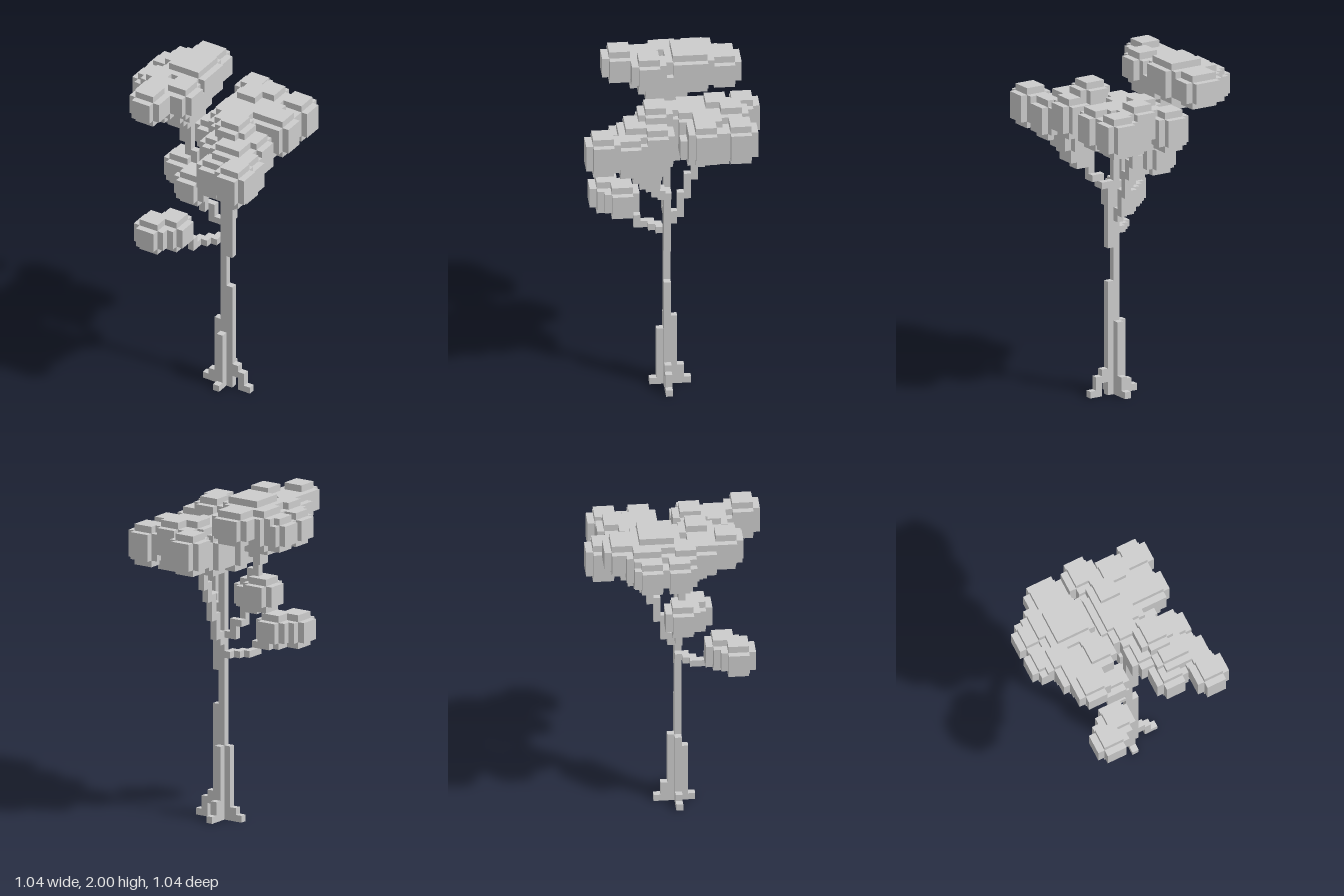
import * as THREE from 'three';

const U = 0.04; // one voxel
const key = (x, y, z) => `${x},${y},${z}`;

// The six faces of a voxel: normal, plus two edge directions with u x v = n
const FACES = [
  [[1, 0, 0], [0, 1, 0], [0, 0, 1]], [[-1, 0, 0], [0, 0, 1], [0, 1, 0]],
  [[0, 1, 0], [0, 0, 1], [1, 0, 0]], [[0, -1, 0], [1, 0, 0], [0, 0, 1]],
  [[0, 0, 1], [1, 0, 0], [0, 1, 0]], [[0, 0, -1], [0, 1, 0], [1, 0, 0]],
];

// Solid block given by its lowest corner and its size
function block(cells, x, y, z, w = 1, h = 1, d = 1) {
  for (let i = 0; i < w; i++)
    for (let j = 0; j < h; j++)
      for (let k = 0; k < d; k++) cells.set(key(x + i, y + j, z + k), [x + i, y + j, z + k]);
}

// Leaf clump: a block whose edges and corners are cut away
function clump(cells, x, y, z, w = 5, h = 6, d = 5) {
  const rim = (i, n) => (i === 0 || i === n - 1 ? 1 : 0);
  for (let i = 0; i < w; i++)
    for (let j = 0; j < h; j++)
      for (let k = 0; k < d; k++)
        if (rim(i, w) + rim(j, h) + rim(k, d) < 2) block(cells, x + i, y + j, z + k);
}

// Stepped limb: walks from point to point one axis at a time, so voxels share faces
function limb(cells, points) {
  const p = [...points[0]];
  block(cells, ...p);
  for (const q of points)
    for (const axis of [0, 2, 1])
      while (p[axis] !== q[axis]) {
        p[axis] += Math.sign(q[axis] - p[axis]);
        block(cells, ...p);
      }
}

// Mesh made of the exposed voxel faces only
function voxelMesh(name, cells, material) {
  const pos = [], nor = [];
  for (const [x, y, z] of cells.values()) {
    for (const [n, u, v] of FACES) {
      if (cells.has(key(x + n[0], y + n[1], z + n[2]))) continue;
      const c = [x + 0.5, y + 0.5, z + 0.5];
      for (const [s, t] of [[-1, -1], [1, -1], [1, 1], [-1, -1], [1, 1], [-1, 1]]) {
        for (let i = 0; i < 3; i++) pos.push((c[i] + (n[i] + s * u[i] + t * v[i]) / 2) * U);
        nor.push(...n);
      }
    }
  }
  const g = new THREE.BufferGeometry();
  g.setAttribute('position', new THREE.Float32BufferAttribute(pos, 3));
  g.setAttribute('normal', new THREE.Float32BufferAttribute(nor, 3));
  const mesh = new THREE.Mesh(g, material);
  mesh.name = name;
  return mesh;
}

export function createModel() {
  const group = new THREE.Group();
  group.name = 'tree';
  const material = new THREE.MeshStandardMaterial({ color: 0xcccccc, flatShading: true });
  const add = (name, fill) => {
    const cells = new Map();
    fill(cells);
    group.add(voxelMesh(name, cells, material));
  };

  // Trunk with buttress columns and stepped roots
  add('trunk', (c) => {
    block(c, 2, 0, 0, 1, 37, 1);
    block(c, 3, 0, 0, 1, 17, 1);
    block(c, 3, 22, 0, 1, 9, 1);
    block(c, 1, 0, 0, 1, 11, 1);
    block(c, 2, 0, -1, 1, 11, 1);
    block(c, 2, 0, 1, 1, 9, 1);
    block(c, 0, 0, 0, 1, 2, 1);
    block(c, -1, 0, 0);
    block(c, 4, 2, 0, 1, 2, 1);
    block(c, 5, 0, 0, 1, 3, 1);
    block(c, 6, 0, 0);
    block(c, 2, 0, 2);
    block(c, 2, 0, -2, 1, 3, 1);
    block(c, 2, 0, -3);
  });

  // Branches reaching to each crown
  add('branches', (c) => {
    limb(c, [[2, 24, 0], [1, 24, 1], [0, 24, 2], [-1, 24, 3], [-1, 25, 4], [-3, 25, 6]]);
    limb(c, [[2, 27, 0], [0, 27, 0], [0, 29, 0], [-1, 31, 1], [-2, 34, 1], [-3, 37, 0], [-4, 39, 0], [-5, 43, -1]]);
    limb(c, [[3, 29, 0], [3, 31, 0], [4, 32, 1], [5, 34, 2], [6, 35, 2], [7, 37, 3]]);
    limb(c, [[2, 26, 0], [2, 27, -1], [2, 30, -2], [2, 33, -3], [2, 35, -4], [2, 39, -5]]);
  });

  // Lowest small crown
  add('lowerFoliage', (c) => {
    clump(c, -7, 25, 6, 5, 5, 5);
    clump(c, -5, 25, 4, 5, 5, 5);
  });

  // Middle crown
  add('middleFoliage', (c) => {
    clump(c, -7, 32, -2, 5, 5, 5);
    clump(c, -4, 31, 0, 5, 5, 5);
  });

  // High crown on the right-hand side
  add('upperFoliage', (c) => {
    const clumps = [
      [-13, 43, -7, 5, 5, 5], [-13, 43, -3, 5, 5, 5], [-9, 44, -11, 6, 5, 5], [-9, 44, -7, 7, 6, 7],
      [-9, 45, 4, 5, 5, 5], [-6, 45, 0, 5, 5, 5], [-10, 44, 0, 6, 5, 6], [-11, 43, -8, 5, 6, 6],
      [-11, 43, -2, 5, 6, 5], [-9, 43, -4, 7, 5, 8],
    ];
    clumps.forEach((b) => clump(c, ...b));
    // stepped underside
    block(c, -8, 42, -3, 5, 2, 5);
    block(c, -7, 41, -2, 4, 1, 3);
    block(c, -5, 40, -1, 2, 1, 2);
  });

  // Broad crown: front lobe
  add('frontFoliage', (c) => {
    const clumps = [
      [8, 39, 8], [3, 37, 5], [3, 41, 0, 5, 6, 5], [6, 39, 0],
      [7, 38, 4], [1, 38, 1], [4, 39, 2, 6, 6, 6], [4, 36, 1, 6, 6, 6],
    ];
    clumps.forEach((b) => clump(c, ...b));
    // stepped underside
    block(c, 5, 35, 2, 4, 2, 3);
    block(c, 6, 34, 2, 2, 1, 2);
  });

  // Broad crown: back lobe
  add('backFoliage', (c) => {
    const clumps = [
      [-2, 39, -13], [6, 39, -12], [6, 39, -7], [2, 40, -11],
      [0, 40, -9], [-1, 39, -7, 7, 6, 7], [4, 39, -8, 5, 6, 6], [-3, 38, -4, 5, 5, 5],
      [-2, 38, -8], [0, 39, -3], [2, 38, -9, 7, 5, 8],
    ];
    clumps.forEach((b) => clump(c, ...b));
    // stepped underside
    block(c, 1, 38, -7, 4, 2, 5);
  });

  return group;
}
